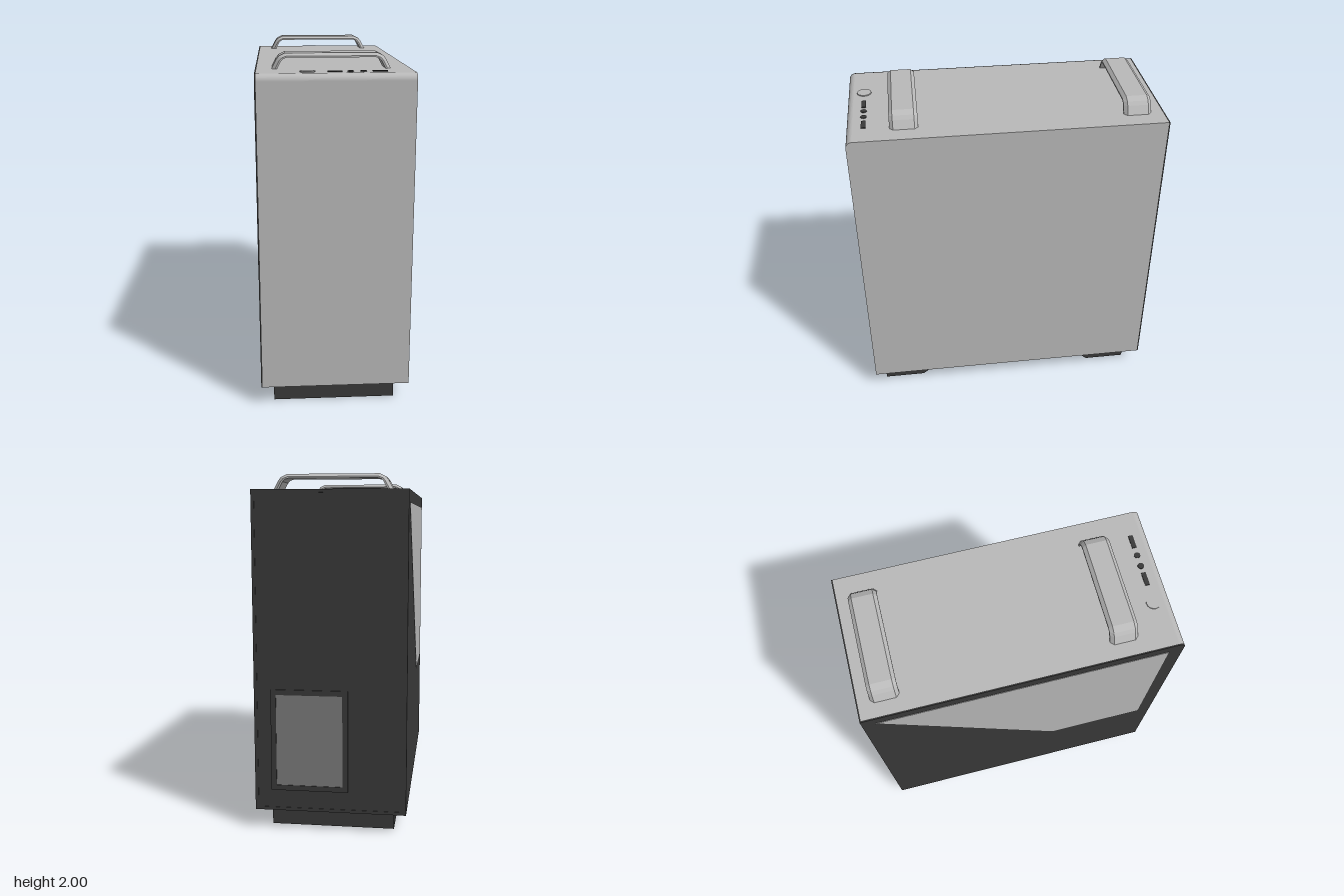
import * as THREE from 'three';

const silver = new THREE.MeshStandardMaterial({ color: 0xbababa });
silver.name = 'silver';
const black = new THREE.MeshStandardMaterial({ color: 0x3a3a3a });
black.name = 'black';
const grey = new THREE.MeshStandardMaterial({ color: 0x7c7c7c });
grey.name = 'grey';

const BOTTOM = 0.115, TOP = 1.915, FRONT = 0.903, BACK = -0.903;

function add(parent, name, geometry, material, x = 0, y = 0, z = 0) {
  const mesh = new THREE.Mesh(geometry, material);
  mesh.name = name;
  mesh.position.set(x, y, z);
  parent.add(mesh);
  return mesh;
}

function polygon(points) {
  return new THREE.Shape(points.map(([a, b]) => new THREE.Vector2(a, b)));
}

// Extrudes a (z, y) outline sideways, filling x from xMin to xMax
function sideExtrude(shape, xMin, xMax) {
  const g = new THREE.ExtrudeGeometry(shape, { depth: xMax - xMin, bevelEnabled: false, curveSegments: 6 });
  g.rotateY(-Math.PI / 2);
  g.translate(xMax, 0, 0);
  return g;
}

// Side outline of the case, with a rounded upper front edge
function caseOutline(back) {
  const r = 0.038;
  const s = new THREE.Shape();
  s.moveTo(back, BOTTOM);
  s.lineTo(FRONT, BOTTOM);
  s.lineTo(FRONT, TOP - r);
  s.absarc(FRONT - r, TOP - r, r, 0, Math.PI / 2, false);
  s.lineTo(back, TOP);
  s.closePath();
  return s;
}

// Flat rectangular ring in the xy plane
function ring(x0, x1, y0, y1, w, depth) {
  const s = polygon([[x0, y0], [x1, y0], [x1, y1], [x0, y1]]);
  s.holes.push(polygon([[x0 + w, y0 + w], [x0 + w, y1 - w], [x1 - w, y1 - w], [x1 - w, y0 + w]]));
  return new THREE.ExtrudeGeometry(s, { depth, bevelEnabled: false });
}

// Arched strap with chamfered outer edges, swept from -x to +x
function handleGeometry(halfDepth, chamfer) {
  // outer x, outer y, inner x, inner y
  const half = [
    [0.333, 1.91, 0.302, 1.91],
    [0.305, 1.963, 0.277, 1.957],
    [0.29, 1.983, 0.265, 1.97],
    [0.255, 2.0, 0.245, 1.976],
  ];
  const stations = [
    ...half.map(([a, b, c, d]) => [-a, b, -c, d]),
    ...half.slice().reverse(),
  ];
  const pos = [], index = [];
  for (const [ox, oy, ix, iy] of stations) {
    const mx = ix + (ox - ix) * 0.35, my = iy + (oy - iy) * 0.35;
    const h = halfDepth, c = halfDepth - chamfer;
    pos.push(ix, iy, -h, mx, my, -h, ox, oy, -c, ox, oy, c, mx, my, h, ix, iy, h);
  }
  for (let i = 0; i < stations.length - 1; i++) {
    for (let j = 0; j < 6; j++) {
      const a = i * 6 + j, b = i * 6 + (j + 1) % 6;
      index.push(a, b, a + 6, b, b + 6, a + 6);
    }
  }
  const g = new THREE.BufferGeometry();
  g.setAttribute('position', new THREE.Float32BufferAttribute(pos, 3));
  g.setIndex(index);
  const flat = g.toNonIndexed();
  flat.computeVertexNormals();
  return flat;
}

export function createModel() {
  const model = new THREE.Group();
  model.name = 'computerCase';

  // Case shell and dark side panel with its angled window
  add(model, 'caseShell', sideExtrude(caseOutline(BACK + 0.006), -0.42, 0.43), silver);
  add(model, 'sidePanel', sideExtrude(caseOutline(BACK + 0.006), -0.428, -0.42), black);
  const windowShape = polygon([[0.82, 0.745], [0.82, 1.845], [-0.83, 1.845], [0.215, 0.745]]);
  add(model, 'sideWindow', sideExtrude(windowShape, -0.431, -0.427), silver);

  // Back wall, rim and power supply bay
  add(model, 'backWall', new THREE.BoxGeometry(0.84, 1.78, 0.004), black, 0, (BOTTOM + TOP) / 2, BACK + 0.005);
  add(model, 'backRim', ring(-0.428, 0.43, BOTTOM, TOP, 0.018, 0.008), black, 0, 0, BACK);
  add(model, 'powerSupplyFrame', ring(-0.1, 0.335, 0.235, 0.815, 0.03, 0.008), black, 0, 0, BACK - 0.004);
  add(model, 'powerSupplyPlate', new THREE.BoxGeometry(0.375, 0.52, 0.005), grey, 0.1175, 0.525, BACK + 0.002);

  // Feet with a sloping inner face
  const feet = {
    frontFoot: [[0.45, BOTTOM], [0.585, 0], [0.84, 0], [0.84, BOTTOM]],
    rearFoot: [[-0.815, BOTTOM], [-0.815, 0], [-0.56, 0], [-0.425, BOTTOM]],
  };
  for (const [name, points] of Object.entries(feet)) {
    add(model, name, sideExtrude(polygon(points), -0.355, 0.35), black);
  }

  // Carrying handles
  const handle = handleGeometry(0.08, 0.02);
  add(model, 'frontHandle', handle, silver, -0.008, 0, 0.583);
  add(model, 'rearHandle', handle, silver, -0.008, 0, -0.747);

  // Power button and ports on top
  const portZ = 0.807;
  add(model, 'powerButton', new THREE.CylinderGeometry(0.042, 0.042, 0.012, 16), silver, -0.147, TOP, portZ);
  for (const x of [0, 0.243]) {
    add(model, 'usbPort', new THREE.BoxGeometry(0.08, 0.01, 0.026), black, x, TOP, portZ);
  }
  for (const x of [0.084, 0.153]) {
    add(model, 'audioJack', new THREE.CylinderGeometry(0.018, 0.018, 0.01, 12), black, x, TOP, portZ);
  }

  return model;
}
